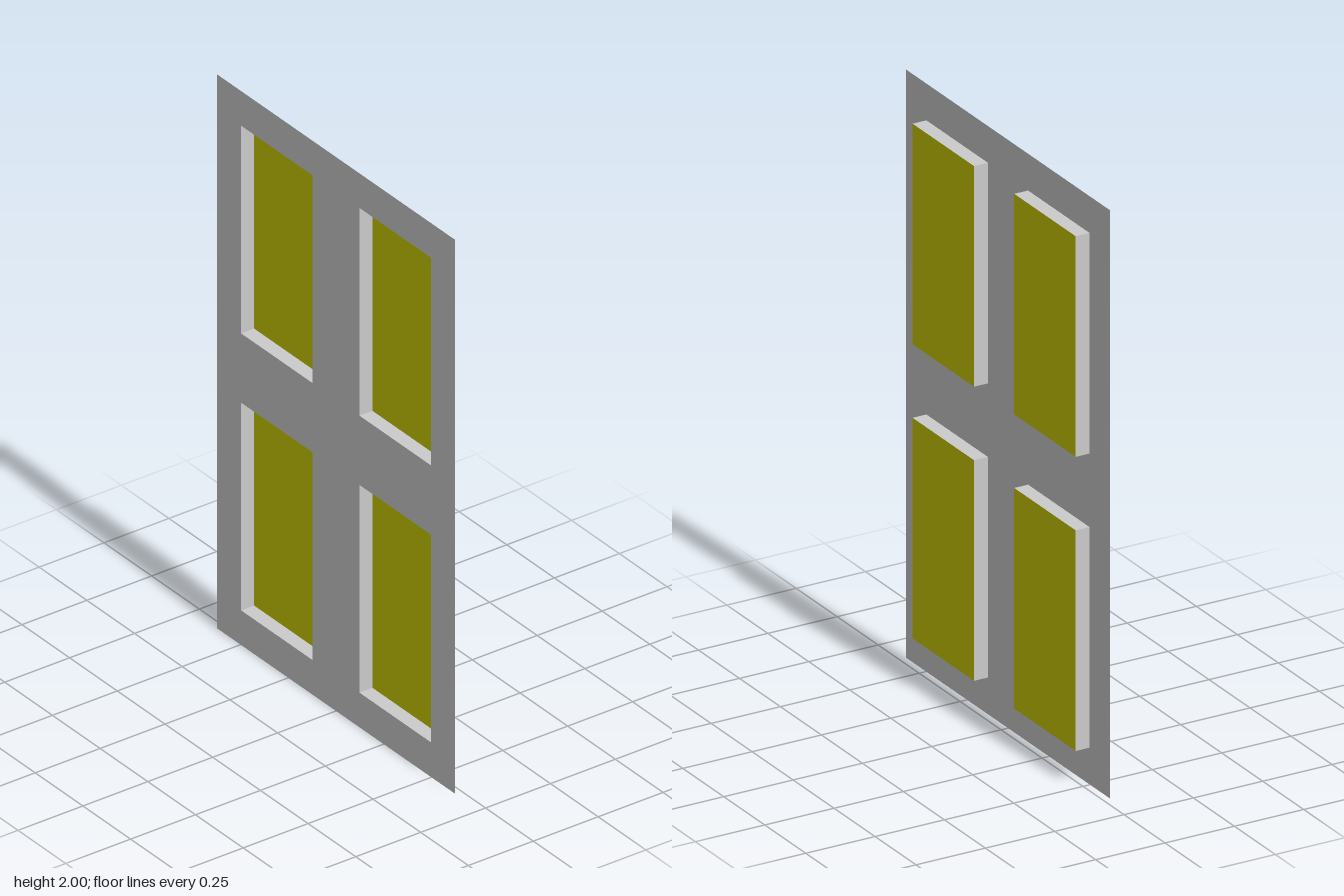
import * as THREE from 'three';

const HEIGHT = 2, WIDTH = 1.245, DEPTH = 0.05;
const PANEL_W = 0.375, PANEL_H = 0.75;
const BACK_X = -DEPTH / 2, FRONT_X = DEPTH / 2;

function rectangle(path, cx, cy, w, h) {
  path.moveTo(cx - w / 2, cy - h / 2);
  path.lineTo(cx + w / 2, cy - h / 2);
  path.lineTo(cx + w / 2, cy + h / 2);
  path.lineTo(cx - w / 2, cy + h / 2);
  path.closePath();
  return path;
}

export function createModel() {
  const model = new THREE.Group();
  model.name = 'panelledDoor';

  const grey = new THREE.MeshStandardMaterial({ color: 0xcccccc, side: THREE.DoubleSide, flatShading: true });
  const yellow = new THREE.MeshStandardMaterial({ color: 0xcccc00, side: THREE.DoubleSide, flatShading: true });

  // Thin sheet with four openings, turned to face +x
  const outline = rectangle(new THREE.Shape(), 0, HEIGHT / 2, WIDTH, HEIGHT);
  const centres = [];
  for (const y of [0.5, 1.5]) {
    for (const z of [-0.31, 0.31]) {
      centres.push([y, z]);
      outline.holes.push(rectangle(new THREE.Path(), -z, y, PANEL_W, PANEL_H));
    }
  }
  const sheet = new THREE.Mesh(new THREE.ShapeGeometry(outline).rotateY(Math.PI / 2), grey);
  sheet.name = 'doorSheet';
  sheet.position.x = BACK_X;
  model.add(sheet);

  // Pressed-out panels: an open four-sided rim closed by a coloured face
  const rimGeometry = new THREE.CylinderGeometry(Math.SQRT1_2, Math.SQRT1_2, 1, 4, 1, true)
    .rotateY(Math.PI / 4)
    .rotateZ(-Math.PI / 2)
    .scale(DEPTH, PANEL_H, PANEL_W);
  const faceGeometry = new THREE.PlaneGeometry(PANEL_W, PANEL_H).rotateY(Math.PI / 2);

  for (const [y, z] of centres) {
    const panel = new THREE.Group();
    panel.name = `${y > 1 ? 'upper' : 'lower'}${z > 0 ? 'Front' : 'Rear'}Panel`;
    panel.position.set(0, y, z);

    const rim = new THREE.Mesh(rimGeometry, grey);
    rim.name = 'panelRim';
    const face = new THREE.Mesh(faceGeometry, yellow);
    face.name = 'panelFace';
    face.position.x = FRONT_X;

    panel.add(rim, face);
    model.add(panel);
  }
  return model;
}
